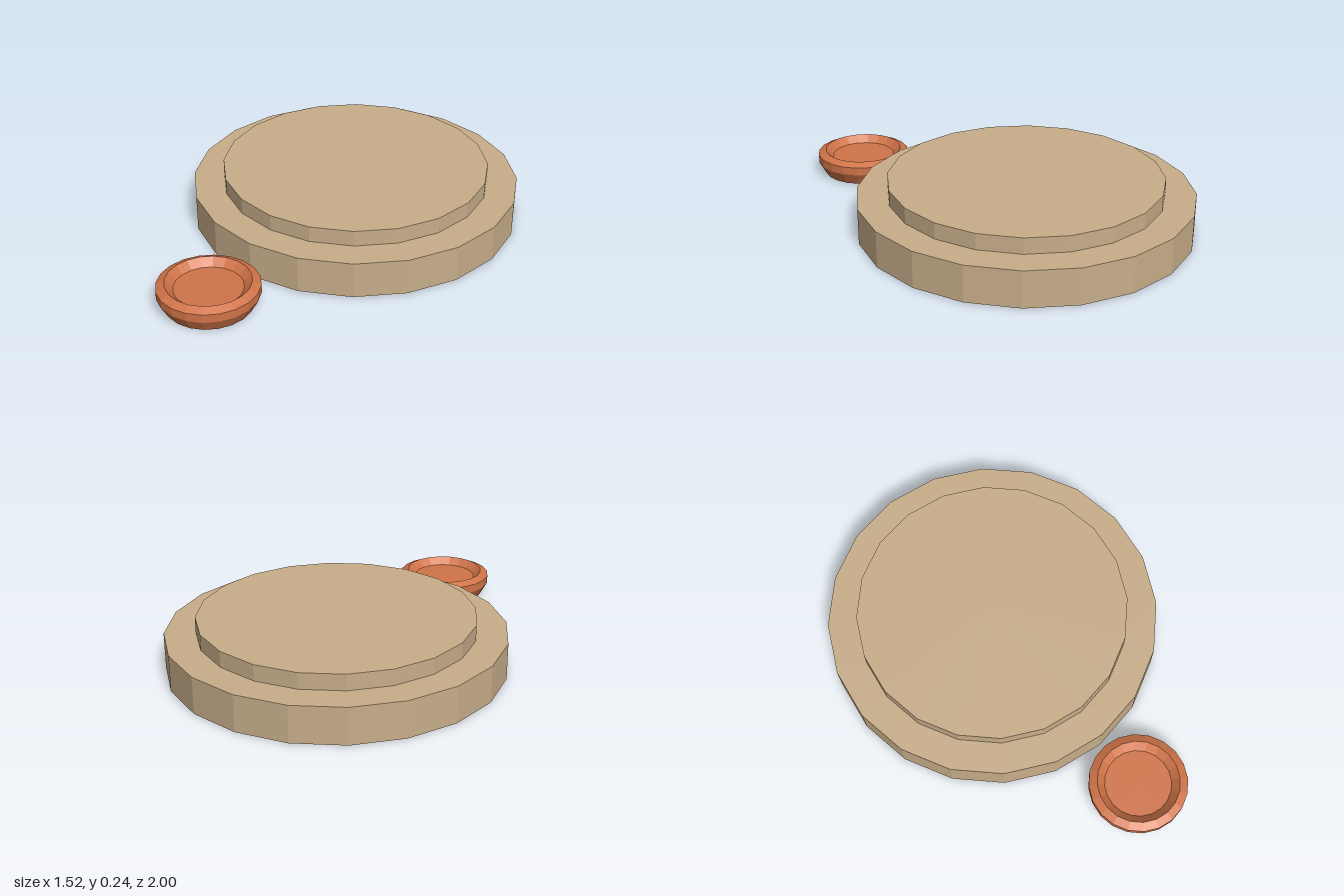
import * as THREE from 'three';

const SIDES = 20;

// Open turned shell with crisp facets
function turned(name, profile, color, x, z) {
  const points = profile.map(([r, y]) => new THREE.Vector2(r, y));
  const material = new THREE.MeshStandardMaterial({ color, flatShading: true, side: THREE.DoubleSide });
  const mesh = new THREE.Mesh(new THREE.LatheGeometry(points, SIDES), material);
  mesh.name = name;
  mesh.position.set(x, 0, z);
  return mesh;
}

export function createModel() {
  const group = new THREE.Group();
  group.name = 'steppedDiscAndDish';

  // Large stepped disc, hollow underneath
  group.add(turned('steppedDisc', [
    [0.76, 0], [0.76, 0.167], [0.62, 0.167], [0.62, 0.24], [0, 0.24],
  ], 0xc8ae8a, 0, -0.24));

  // Small dish: flared foot, upright side, sloped rim and inner wall
  const dish = new THREE.Group();
  dish.name = 'dish';
  dish.add(turned('dishWall', [
    [0.19, 0], [0.222, 0.058], [0.222, 0.096], [0.185, 0.113], [0.15, 0.08],
  ], 0xd07448, 0, 0));

  // Dish floor, reaching the outer wall
  dish.add(turned('dishFloor', [[0.221, 0.08], [0, 0.08]], 0xd07448, 0, 0));
  dish.position.set(-0.005, 0, 0.777);
  group.add(dish);

  return group;
}
